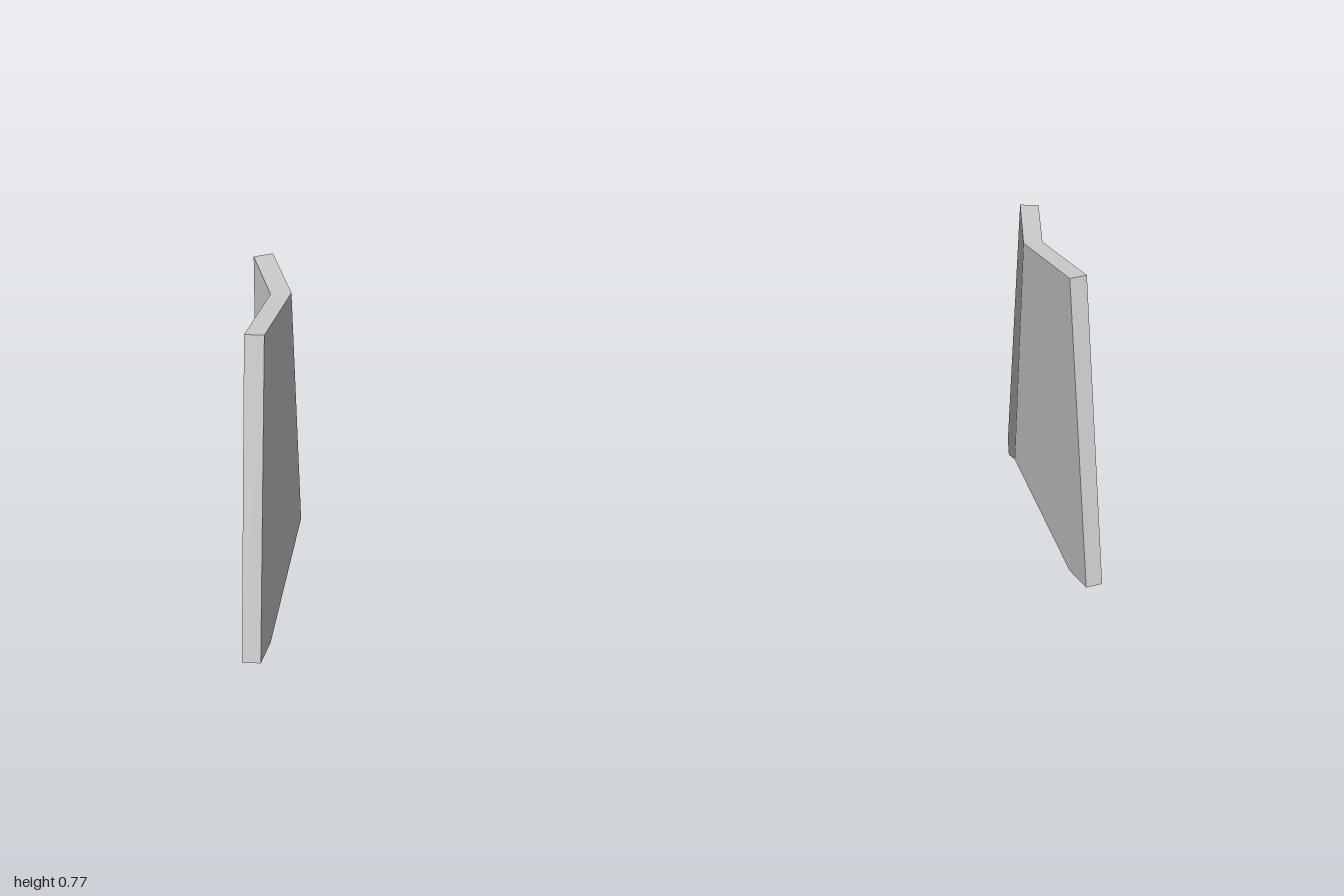
import * as THREE from 'three';

// Half outline of a panel as [z, y, extra z on the inner skin]
const half = [
  [0, 0.766, 0],        // top of the fold
  [0.167, 0.77, 0.009], // top corner
  [0.3, 0, 0.008],      // foot, outer corner
  [0.237, 0, 0.004],    // foot, inner corner
  [0, 0.163, 0],        // notch at the fold
];

// A sloping panel folded along z = 0, with its outer skin facing +x
function panelGeometry() {
  const mirrored = half.slice(1, 4).reverse().map(([z, y, e]) => [-z, y, -e]);
  const ring = [...half, ...mirrored];
  const n = ring.length;
  const skinX = (z, y) => 0.27 * Math.abs(z) + 0.083 * (0.766 - y);
  const outer = ring.map(([z, y]) => [0.855 + skinX(z, y), y, z]);
  const inner = ring.map(([z, y, e]) => [0.811 + skinX(z + e, y), y, z + e]);

  const positions = [];
  const tri = (a, b, c) => positions.push(...a, ...b, ...c);
  const notch = 4;
  for (let i = 0; i < n; i++) {
    const j = (i + 1) % n;
    // skins fan out from the notch so that the fold is an edge
    if (i !== notch && j !== notch) {
      tri(outer[notch], outer[i], outer[j]);
      tri(inner[notch], inner[j], inner[i]);
    }
    // rim joining the two skins
    tri(outer[i], inner[i], inner[j]);
    tri(outer[i], inner[j], outer[j]);
  }
  const geometry = new THREE.BufferGeometry();
  geometry.setAttribute('position', new THREE.Float32BufferAttribute(positions, 3));
  geometry.computeVertexNormals();
  return geometry;
}

export function createModel() {
  const group = new THREE.Group();
  group.name = 'foldedPanelLegs';
  const material = new THREE.MeshStandardMaterial({ color: 0xcccccc, flatShading: true });
  const geometry = panelGeometry();

  // The two legs are the same panel, turned half way round
  for (const [name, angle] of [['leftLeg', 0], ['rightLeg', Math.PI]]) {
    const leg = new THREE.Mesh(geometry, material);
    leg.name = name;
    leg.rotation.y = angle;
    group.add(leg);
  }
  return group;
}
